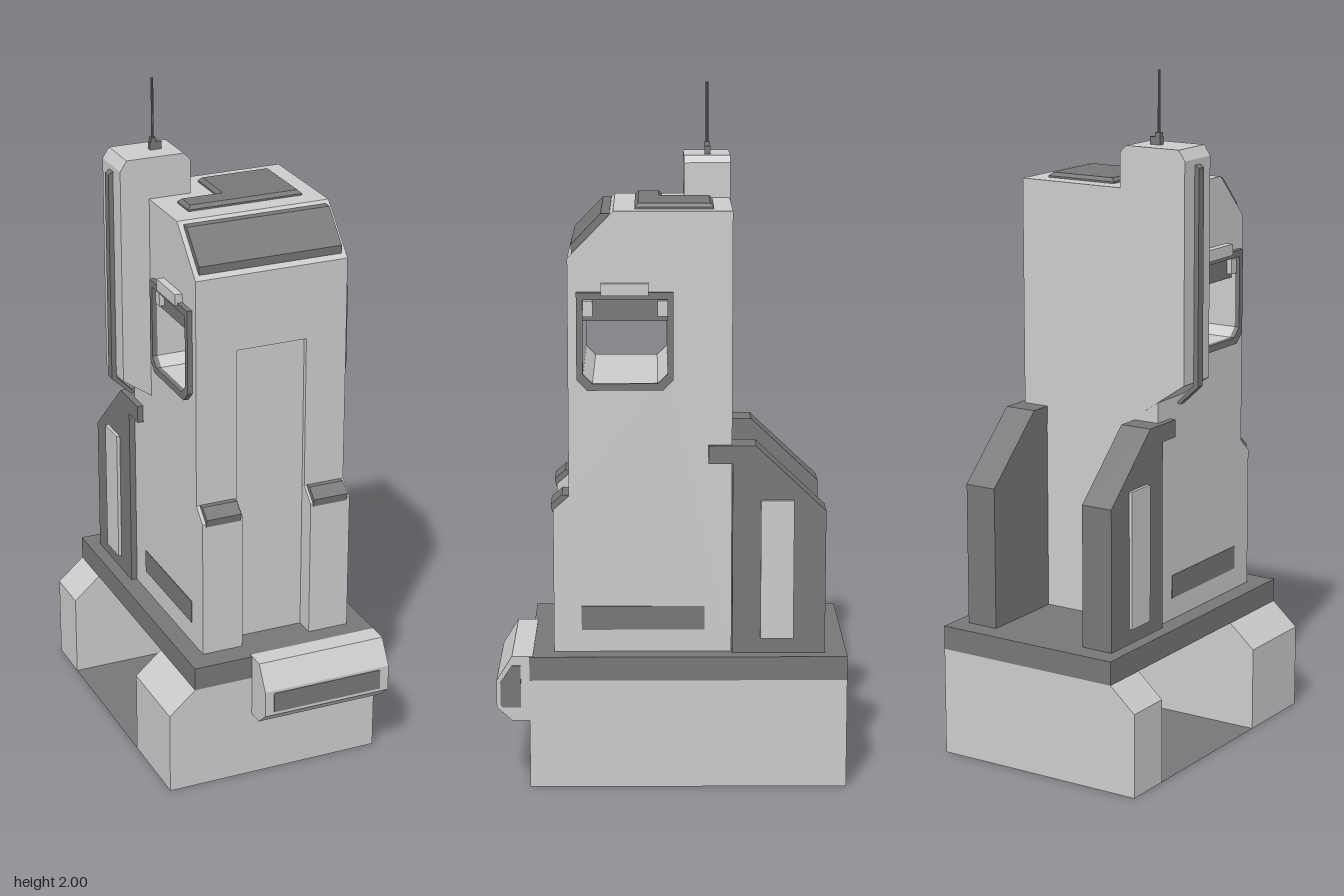
import * as THREE from 'three';

const LIGHT = new THREE.MeshStandardMaterial({ color: 0xcccccc, side: THREE.DoubleSide, flatShading: true });
const DARK = new THREE.MeshStandardMaterial({ color: 0x777777, side: THREE.DoubleSide, flatShading: true });
const C = 0.0375; // tower centre line in x
const H = 0.2325; // tower half width

export function createModel() {
  const root = new THREE.Group();
  const add = (name, geo, mat) => {
    const m = new THREE.Mesh(geo, mat);
    m.name = name;
    root.add(m);
    return m;
  };
  const shapeOf = (pts, sx = 1) => new THREE.Shape(pts.map(([a, b]) => new THREE.Vector2(a * sx, b)));

  // Profile of [z, y] points swept along x, optionally with a hole
  const sweepX = (name, mat, pts, x0, x1, hole) => {
    const s = shapeOf(pts, -1);
    if (hole) s.holes.push(shapeOf(hole, -1));
    const g = new THREE.ExtrudeGeometry(s, { depth: x1 - x0, bevelEnabled: false });
    return add(name, g.rotateY(Math.PI / 2).translate(x0, 0, 0), mat);
  };
  // Profile of [x, y] points swept along z
  const sweepZ = (name, mat, pts, z0, z1) => {
    const g = new THREE.ExtrudeGeometry(shapeOf(pts), { depth: z1 - z0, bevelEnabled: false });
    return add(name, g.translate(0, 0, z0), mat);
  };
  // Sweep on both sides of the tower, a..b measured from its centre line
  const pair = (name, mat, pts, a, b, hole) => {
    sweepX('left' + name, mat, pts, C + a, C + b, hole);
    sweepX('right' + name, mat, pts, C - b, C - a, hole);
  };
  const rect = (a0, b0, a1, b1) => [[a0, b0], [a1, b0], [a1, b1], [a0, b1]];
  const box = (name, mat, x0, x1, y0, y1, z0, z1) =>
    add(name, new THREE.BoxGeometry(x1 - x0, y1 - y0, z1 - z0)
      .translate((x0 + x1) / 2, (y0 + y1) / 2, (z0 + z1) / 2), mat);
  // Flat convex panel from its corners
  const panel = (name, mat, pts) => {
    const v = [];
    for (let i = 1; i < pts.length - 1; i++) v.push(...pts[0], ...pts[i], ...pts[i + 1]);
    const g = new THREE.BufferGeometry();
    g.setAttribute('position', new THREE.Float32BufferAttribute(v, 3));
    g.computeVertexNormals();
    add(name, g, mat);
  };

  // Base: open-bottomed shell with a chamfered edge and a deep pocket on the right
  const X0 = -0.33, X1 = 0.33, Z0 = -0.505, Z1 = 0.41, P0 = -0.36, P1 = 0.15, PX = 0.15;
  const outline = (xEnd, z) =>
    [[xEnd, 0, z], [xEnd, 0.32, z], [-0.25, 0.32, z], [X0, 0.25, z], [X0, 0, z]];
  panel('baseFront', LIGHT, outline(X1, Z1));
  panel('baseBack', LIGHT, outline(X1, Z0).reverse());
  panel('pocketFrontWall', LIGHT, outline(PX, P1).reverse());
  panel('pocketBackWall', LIGHT, outline(PX, P0));
  panel('baseLeft', LIGHT, [[X1, 0, Z1], [X1, 0, Z0], [X1, 0.32, Z0], [X1, 0.32, Z1]]);
  panel('pocketInnerWall', LIGHT, [[PX, 0, P0], [PX, 0, P1], [PX, 0.32, P1], [PX, 0.32, P0]]);
  for (const [a, b] of [[Z0, P0], [P1, Z1]]) {
    panel('baseRight', LIGHT, [[X0, 0, a], [X0, 0, b], [X0, 0.25, b], [X0, 0.25, a]]);
    panel('baseChamfer', LIGHT, [[X0, 0.25, a], [X0, 0.25, b], [-0.25, 0.32, b], [-0.25, 0.32, a]]);
  }
  panel('pocketFloor', DARK, [[X0, 0, P0], [X0, 0, P1], [PX, 0, P1], [PX, 0, P0]]);
  box('baseDeck', DARK, -0.25, X1, 0.32, 0.39, Z0, Z1);

  // Front unit with inset panels
  sweepX('frontUnit', LIGHT,
    [[0.40, 0.392], [0.46, 0.392], [0.505, 0.32], [0.505, 0.24], [0.46, 0.2], [0.40, 0.2]], -0.07, 0.328);
  box('frontUnitPanel', DARK, -0.042, 0.3, 0.25, 0.312, 0.49, 0.507);
  sweepX('frontUnitEndPanel', DARK,
    [[0.435, 0.24], [0.49, 0.24], [0.494, 0.25], [0.494, 0.315], [0.46, 0.365], [0.435, 0.365]].slice(0), 0.31, 0.331);

  // Tower: two side slices with front columns, and a middle slice with a recessed slot
  const windowHole = [[0.04, 1.18], [0.225, 1.18], [0.252, 1.207], [0.252, 1.42], [0.012, 1.42], [0.012, 1.207]];
  const top = [[0.295, 1.535], [0.165, 1.668], [-0.172, 1.668], [-0.172, 0.39]];
  pair('TowerSide', LIGHT, [[0.34, 0.39], [0.34, 0.81], [0.295, 0.85], ...top], 0.1075, H, windowHole);
  sweepX('towerMiddle', LIGHT, [[0.28, 0.39], [0.28, 1.31], [0.295, 1.31], ...top], C - 0.1075, C + 0.1075, windowHole);
  pair('ColumnCap', DARK, [[0.33, 0.8], [0.343, 0.802], [0.347, 0.825], [0.315, 0.852], [0.29, 0.85]], 0.115, 0.222);
  pair('SidePanel', DARK, rect(-0.095, 0.455, 0.26, 0.525), H - 0.01, H + 0.002);

  // Window openings, running right through the tower
  pair('WindowFrame', DARK,
    [[0.025, 1.16], [0.24, 1.16], [0.27, 1.19], [0.27, 1.44], [-0.005, 1.44], [-0.005, 1.19]],
    H, H + 0.015, windowHole);
  box('windowLintel', DARK, C - H + 0.012, C + H - 0.012, 1.355, 1.421, 0.012, 0.252);
  for (const z of [0.012, 0.224])
    pair('WindowLug', LIGHT, rect(z, 1.37, z + 0.028, 1.415), H - 0.02, H + 0.004);
  pair('WindowLip', LIGHT, rect(0.065, 1.432, 0.2, 1.466), H - 0.01, H + 0.022);

  // Roof: sloped front panel and L-shaped bevelled plate
  sweepX('slopedRoofPanel', DARK,
    [[0.27, 1.54], [0.283, 1.547], [0.285, 1.572], [0.2, 1.66], [0.175, 1.66]], -0.18, 0.256);
  const plate = new THREE.ExtrudeGeometry(
    shapeOf([[-0.01, 0.12], [0.215, 0.12], [0.215, -0.105], [-0.135, -0.105], [-0.135, -0.025], [-0.01, -0.025]]),
    { depth: 0.005, bevelSize: 0.01, bevelOffset: -0.01, bevelThickness: 0.01, bevelSegments: 1 });
  add('roofPlate', plate.rotateX(-Math.PI / 2).translate(0, 1.668, 0), DARK);

  // Rear side mast block with rib and antenna
  sweepZ('mastBlock', LIGHT,
    [[-0.15, 1.0], [-0.282, 1.12], [-0.282, 1.76], [-0.262, 1.79], [-0.088, 1.79], [-0.068, 1.77], [-0.068, 1.0]]
      .map(([x, y]) => [x, x > -0.16 && y < 1.1 ? 1.03 : y]), -0.174, -0.038);
  sweepZ('mastRib', DARK,
    [[-0.225, 1.055], [-0.235, 1.05], [-0.296, 1.108], [-0.296, 1.735], [-0.28, 1.745], [-0.28, 1.11]], -0.121, -0.094);
  box('antennaFoot', DARK, -0.165, -0.131, 1.785, 1.812, -0.117, -0.1);
  box('antennaCollar', DARK, -0.163, -0.147, 1.8, 1.825, -0.115, -0.1);
  add('antennaRod', new THREE.CylinderGeometry(0.004, 0.004, 0.2, 8).translate(-0.155, 1.9, -0.107), DARK);

  // Rear fins hooked over the tower sides
  pair('Fin', DARK,
    [[-0.105, 1.0], [-0.24, 1.0], [-0.442, 0.81], [-0.442, 0.385], [-0.174, 0.385], [-0.174, 0.948], [-0.105, 0.948]],
    0.152, 0.25);
  pair('FinPanel', LIGHT, rect(-0.35, 0.435, -0.255, 0.842), 0.24, 0.26);

  return root;
}
